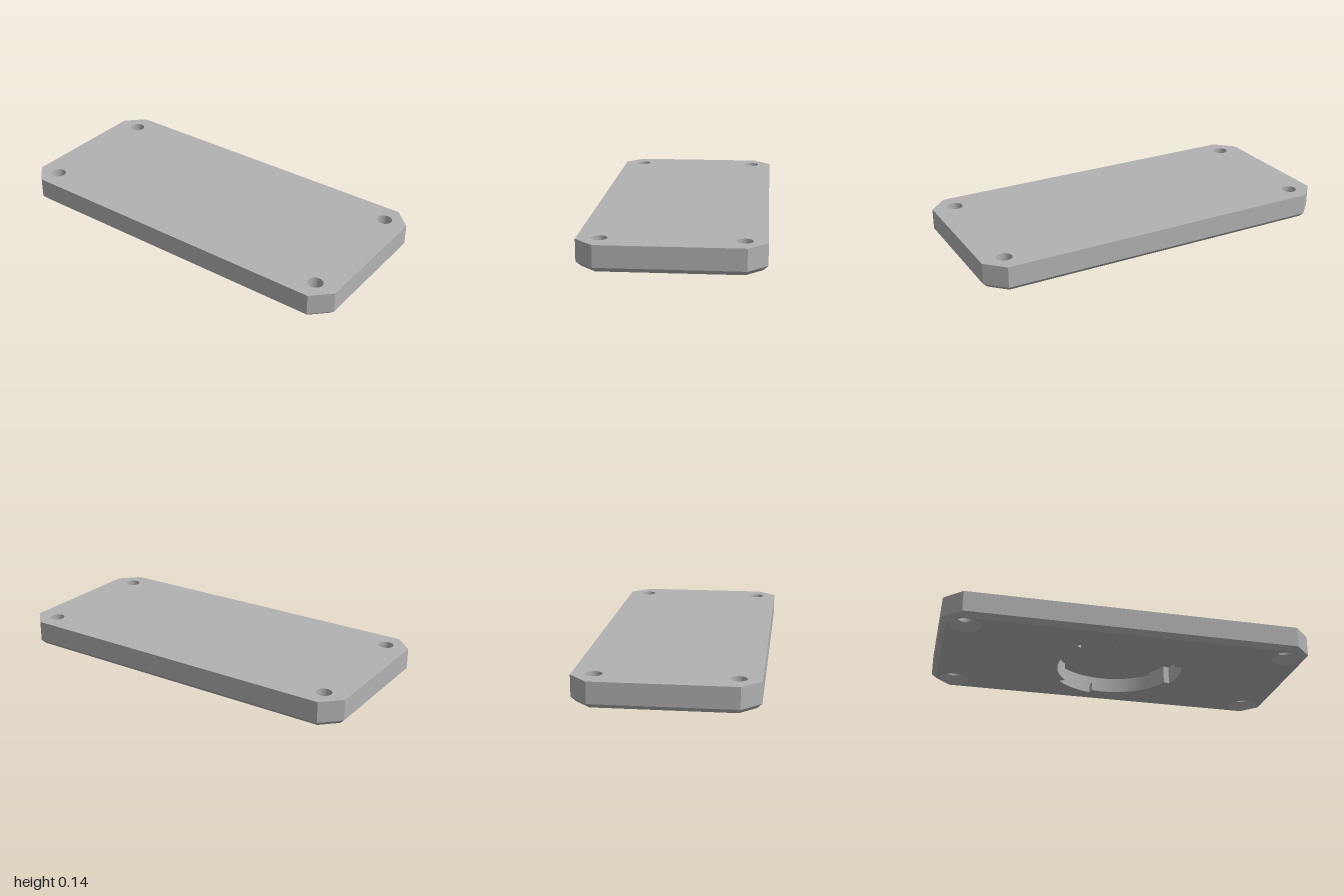
import * as THREE from 'three';
import { mergeGeometries, toCreasedNormals } from 'three/addons/utils/BufferGeometryUtils.js';

const HX = 0.4625, HZ = 1, H = 0.137;          // half width, half length, thickness
const CORNER = 0.097, BEVEL = 0.025;           // cut corners, lower edge bevel
const HOLE = { x: 0.35, z: 0.876, r: 0.041, sinkR: 0.081, sinkH: 0.04 };
const SOCKET = { r: 0.33, R: 0.366, lip: 0.05, depth: 0.1, start: 310, notch: 38, slot: 100 };

// Points are 2D: x stays x, y becomes z. All rings run from +x towards +z.
const polar = (r, deg, cx = 0, cy = 0) => {
  const a = THREE.MathUtils.degToRad(deg);
  return new THREE.Vector2(cx + r * Math.cos(a), cy + r * Math.sin(a));
};

function arc(r, from, to) {
  const n = Math.ceil((to - from) / 4), pts = [];
  for (let i = 0; i <= n; i++) pts.push(polar(r, from + (to - from) * i / n));
  return pts;
}

// Rectangle with cut corners, inset evenly
function outline(inset) {
  const x = HX - inset, z = HZ - inset, c = CORNER - inset * (2 - Math.SQRT2);
  return [[x, -z + c], [x, z - c], [x - c, z], [-x + c, z], [-x, z - c], [-x, -z + c], [-x + c, -z], [x - c, -z]]
    .map(p => new THREE.Vector2(...p));
}

// Circle round one screw hole, trimmed where it would cross the cut corner
function holeRing(r, sx, sz) {
  const pts = [], diagonal = Math.atan2(sz, sx), limit = 0.0725;
  for (let i = 0; i < 40; i++) {
    const deg = i * 9, c = Math.cos(THREE.MathUtils.degToRad(deg) - diagonal);
    pts.push(polar(c > 0 ? Math.min(r, limit / c) : r, deg, sx * HOLE.x, sz * HOLE.z));
  }
  return pts;
}

// Socket outline: three wide spans, each followed by a narrow one
function socketRing(span) {
  const pts = [];
  for (let k = 0; k < 3; k++) {
    const a = SOCKET.start + 120 * k;
    pts.push(...arc(SOCKET.R, a, a + span), ...arc(SOCKET.r, a + span, a + 120));
  }
  return pts;
}

// Strip between two rings; faces outward when the lower ring comes first
function wall(a, ya, b, yb, closed = true) {
  const pos = [], n = a.length;
  for (let i = 0; i < (closed ? n : n - 1); i++) {
    const j = (i + 1) % n;
    const al = [a[i].x, ya, a[i].y], ar = [a[j].x, ya, a[j].y];
    const bl = [b[i].x, yb, b[i].y], br = [b[j].x, yb, b[j].y];
    if (a[i].distanceTo(a[j]) > 1e-6) pos.push(...al, ...bl, ...ar, ...ar, ...bl, ...br);
  }
  const g = new THREE.BufferGeometry();
  g.setAttribute('position', new THREE.Float32BufferAttribute(pos, 3));
  return g;
}

// Flat face with holes at height y
function cap(points, holes, y, up) {
  const clean = pts => pts.filter((p, i) => p.distanceTo(pts[(i + 1) % pts.length]) > 1e-6);
  const shape = new THREE.Shape(clean(points));
  shape.holes = holes.map(h => new THREE.Path(clean(h)));
  const g = new THREE.ShapeGeometry(shape);
  if (up) g.index.array.reverse();
  g.rotateX(Math.PI / 2).translate(0, y, 0);
  const flat = g.toNonIndexed();
  flat.deleteAttribute('uv');
  flat.deleteAttribute('normal');
  return flat;
}

export function createModel() {
  const group = new THREE.Group();
  const grey = new THREE.MeshStandardMaterial({ color: 0xb2b2b2 });
  grey.name = 'grey';
  const add = (name, parts) => {
    const mesh = new THREE.Mesh(toCreasedNormals(mergeGeometries(parts), 0.4), grey);
    mesh.name = name;
    group.add(mesh);
  };

  const corners = [[1, 1], [-1, 1], [-1, -1], [1, -1]];
  const bores = corners.map(c => holeRing(HOLE.r, ...c));
  const sinks = corners.map(c => holeRing(HOLE.sinkR, ...c));
  const outer = outline(0), base = outline(BEVEL);
  const mouth = socketRing(SOCKET.notch), chamber = socketRing(SOCKET.slot);

  // Plate: top, sides, bevel and underside
  add('plate', [
    cap(outer, bores, H, true),
    wall(outer, BEVEL, outer, H),
    wall(base, 0, outer, BEVEL),
    cap(base, [...sinks, mouth], 0, false),
  ]);

  // Countersunk screw holes
  bores.forEach((bore, i) => add('screwHole' + (i + 1), [
    wall(bore, H, bore, HOLE.sinkH),
    wall(bore, HOLE.sinkH, sinks[i], 0),
  ]));

  // Twist-lock socket in the underside: lip, hidden ledges, chamber and ceiling
  const ledges = [0, 1, 2].map(k => {
    const a = SOCKET.start + 120 * k, from = a + SOCKET.notch, to = a + SOCKET.slot;
    return wall(arc(SOCKET.R, from, to), SOCKET.lip, arc(SOCKET.r, from, to), SOCKET.lip, false);
  });
  add('socket', [
    wall(mouth, SOCKET.lip, mouth, 0),
    ...ledges,
    wall(chamber, SOCKET.depth, chamber, SOCKET.lip),
    cap(chamber, [], SOCKET.depth, false),
  ]);
  return group;
}
